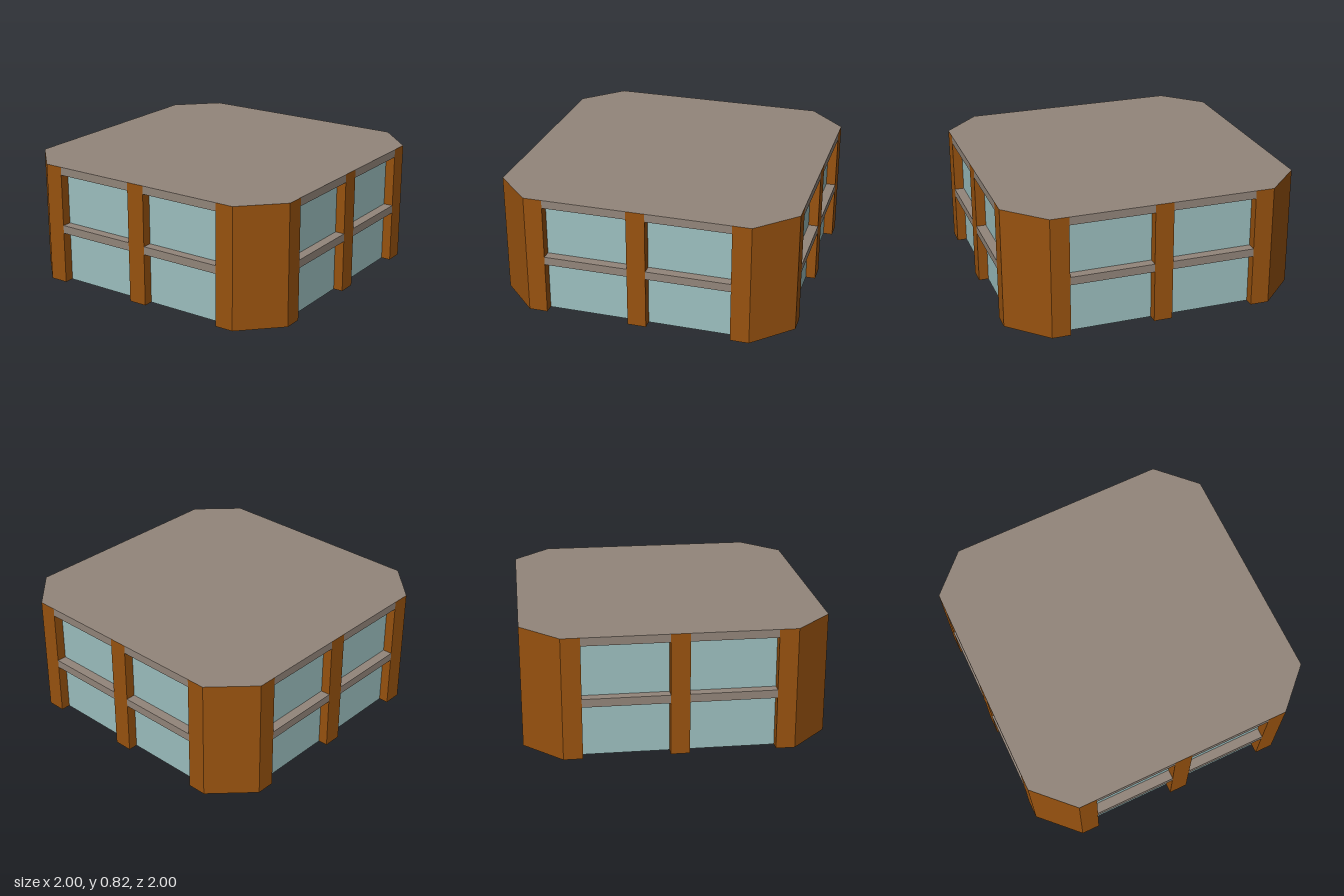
import * as THREE from 'three';

const H = 0.82, STOREY = 0.41, BEAM = 0.055; // heights
const POST = 0.0625, BAY = 0.625, CUT = 0.75; // half post, bay end, start of chamfer
const DEPTH = 0.065; // window recess

const mat = (color) => new THREE.MeshStandardMaterial({ color, side: THREE.DoubleSide, flatShading: true });

export function createModel() {
  const model = new THREE.Group();
  model.name = 'building';
  const wood = mat(0x98520f), stone = mat(0x92857a), glass = mat(0x9cbfbf);

  // thin rectangular sheet centred at x, y, z
  function sheet(parent, name, material, w, h, x, y, z, rx = 0, ry = 0) {
    const m = new THREE.Mesh(new THREE.PlaneGeometry(w, h), material);
    m.name = name;
    m.position.set(x, y, z);
    m.rotation.set(rx, ry, 0);
    parent.add(m);
  }

  // roof: square with chamfered corners
  const outline = [
    [CUT, -1], [1, -CUT], [1, CUT], [CUT, 1], [-CUT, 1], [-1, CUT], [-1, -CUT], [-CUT, -1],
  ].map(([x, y]) => new THREE.Vector2(x, y));
  const roof = new THREE.Mesh(new THREE.ShapeGeometry(new THREE.Shape(outline)), stone);
  roof.name = 'roof';
  roof.rotation.x = -Math.PI / 2;
  roof.position.y = H;
  model.add(roof);

  // four equal walls, each with the corner pillar panel at its +x end
  for (let i = 0; i < 4; i++) {
    const wall = new THREE.Group();
    wall.name = 'wall' + (i + 1);
    wall.rotation.y = i * Math.PI / 2;
    model.add(wall);

    const mid = (1 + CUT) / 2, zMid = 1 - DEPTH / 2;
    sheet(wall, 'cornerPillar', wood, (1 - CUT) * Math.SQRT2, H, mid, H / 2, mid, 0, Math.PI / 4);
    sheet(wall, 'middlePost', wood, POST * 2, H, 0, H / 2, 1);

    for (const s of [-1, 1]) {
      sheet(wall, 'pillarFlank', wood, CUT - BAY, H, s * (CUT + BAY) / 2, H / 2, 1);

      // two recessed windows, one above the other
      const w = BAY - POST, x = s * (BAY + POST) / 2, wh = STOREY - BEAM;
      for (let f = 0; f < 2; f++) {
        const y0 = f * STOREY, y1 = y0 + wh, yc = y0 + wh / 2;
        sheet(wall, 'window', glass, w, wh, x, yc, 1 - DEPTH);
        sheet(wall, 'beamFront', stone, w, BEAM, x, y1 + BEAM / 2, 1);
        sheet(wall, 'beamUnderside', stone, w, DEPTH, x, y1, zMid, Math.PI / 2);
        if (f > 0) sheet(wall, 'beamTop', stone, w, DEPTH, x, y0, zMid, -Math.PI / 2);
        sheet(wall, 'postSide', wood, DEPTH, wh, s * POST, yc, zMid, 0, s * Math.PI / 2);
        sheet(wall, 'pillarSide', wood, DEPTH, wh, s * BAY, yc, zMid, 0, -s * Math.PI / 2);
      }
    }
  }
  return model;
}
